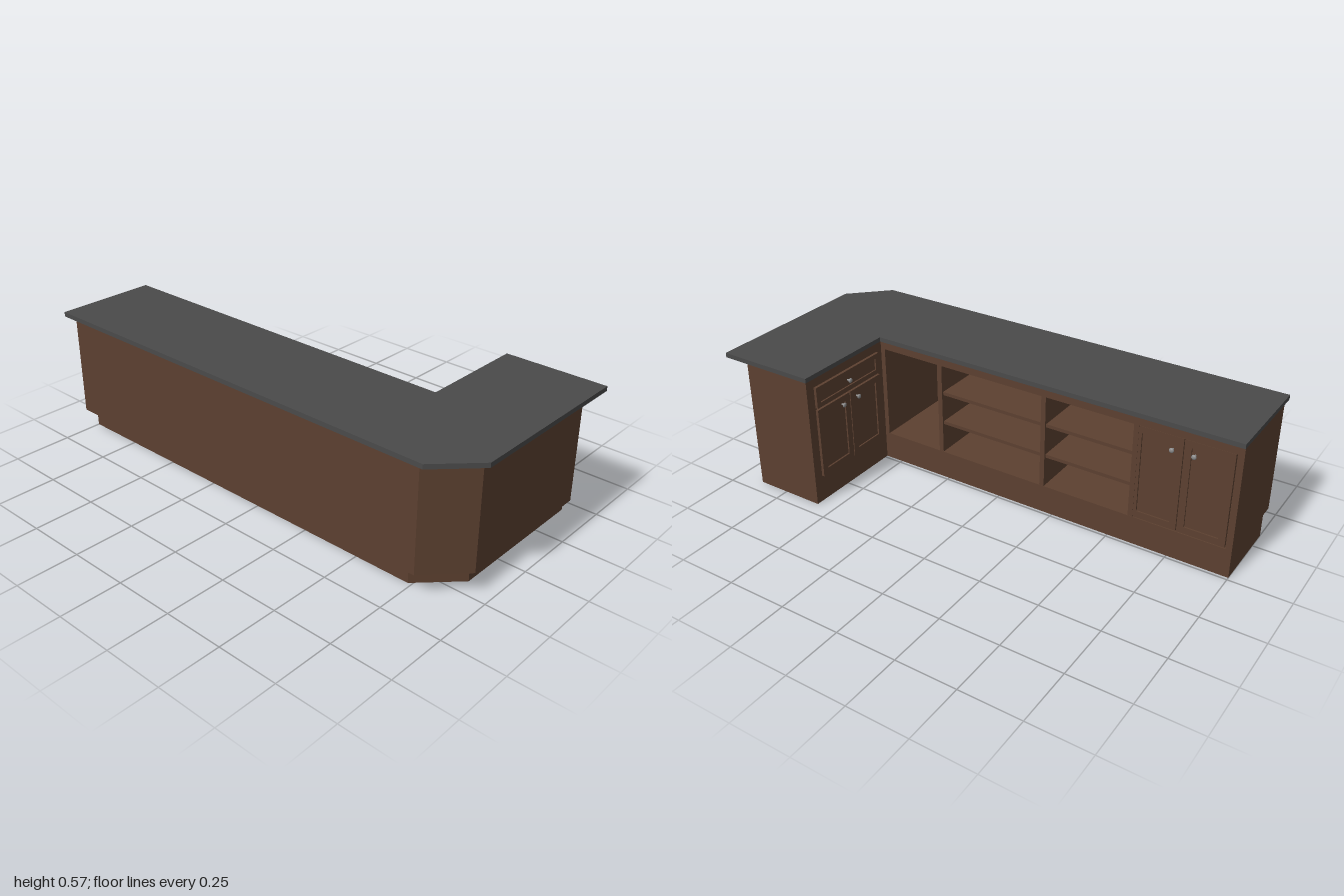
import * as THREE from 'three';

const wood = new THREE.MeshStandardMaterial({ color: 0x5c4030 });
const stone = new THREE.MeshStandardMaterial({ color: 0x4a4a4a });
const metal = new THREE.MeshStandardMaterial({ color: 0x8a8a8a });

const BACK = 0.013;   // z of the open, staff-side face
const INNER = 0.58;   // x of the short wing's staff-side face
const END = -0.44;    // z of the short wing's end

function add(parent, name, geometry, material) {
  const mesh = new THREE.Mesh(geometry, material);
  mesh.name = name;
  parent.add(mesh);
  return mesh;
}

// Floor-plan outline (x, z pairs) raised from y0 to y1
function slab(parent, name, plan, y0, y1, material) {
  const shape = new THREE.Shape(plan.map(([x, z]) => new THREE.Vector2(x, z)));
  const geo = new THREE.ExtrudeGeometry(shape, { depth: y1 - y0, bevelEnabled: false });
  geo.rotateX(Math.PI / 2);
  add(parent, name, geo, material).position.y = y1;
}

function box(parent, name, x0, x1, y0, y1, z0, z1) {
  add(parent, name, new THREE.BoxGeometry(x1 - x0, y1 - y0, z1 - z0), wood)
    .position.set((x0 + x1) / 2, (y0 + y1) / 2, (z0 + z1) / 2);
}

// Framed front with a sunken panel, facing local +z
function framedFront(name, w, h, border, knobX, knobY) {
  const group = new THREE.Group();
  group.name = name;
  const rect = (type, a, b) => new type([[-a, -b], [a, -b], [a, b], [-a, b]].map(([x, y]) => new THREE.Vector2(x, y)));
  const frame = rect(THREE.Shape, w / 2, h / 2);
  frame.holes.push(rect(THREE.Path, w / 2 - border, h / 2 - border));
  add(group, 'frame', new THREE.ExtrudeGeometry(frame, { depth: 0.012, bevelEnabled: false }), wood);
  add(group, 'panel', new THREE.BoxGeometry(w - border, h - border, 0.005), wood).position.z = 0.003;

  // Knob on a short stem
  const stem = new THREE.CylinderGeometry(0.004, 0.004, 0.014, 10).rotateX(Math.PI / 2);
  add(group, 'knobStem', stem, metal).position.set(knobX, knobY, 0.011);
  const head = add(group, 'knob', new THREE.SphereGeometry(0.01, 16, 10), metal);
  head.scale.z = 0.6;
  head.position.set(knobX, knobY, 0.02);
  return group;
}

export function createModel() {
  const model = new THREE.Group();
  model.name = 'cornerCounter';

  // Countertop
  slab(model, 'countertop', [
    [-1, 0.01], [INNER, 0.01], [INNER, END], [1, END], [1, 0.29], [0.85, 0.44], [-1, 0.44],
  ], 0.548, 0.567, stone);

  // Recessed base
  slab(model, 'base', [
    [-1, BACK], [INNER, BACK], [INNER, END], [0.885, END], [0.885, 0.18], [0.735, 0.33], [-1, 0.33],
  ], 0, 0.095, wood);

  // Body: solid bottom and top, with the cabinet space cut into the middle
  const outer = [
    [INNER, BACK], [INNER, END], [0.885, END], [0.945, -0.38],
    [0.945, 0.238], [0.8, 0.387], [-1, 0.387], [-1, BACK],
  ];
  const notch = [[-0.975, BACK], [-0.975, 0.365], [0.56, 0.365], [0.56, BACK]];
  const y0 = 0.12, y1 = 0.517;
  slab(model, 'bodyBottom', outer, 0.095, y0, wood);
  slab(model, 'bodyWalls', [...outer, ...notch], y0, y1, wood);
  slab(model, 'bodyTop', outer, y1, 0.548, wood);

  // Uprights and shelves
  const uprights = [0.285, -0.2, -0.59];
  for (const x of uprights) box(model, 'divider', x - 0.01, x + 0.01, y0, y1, BACK + 0.001, 0.365);
  for (let bay = 0; bay < 2; bay++) {
    for (const y of [0.255, 0.39]) {
      box(model, 'shelf', uprights[bay + 1] + 0.01, uprights[bay] - 0.01, y - 0.007, y + 0.007, 0.022, 0.365);
    }
  }

  // Double doors of the long run
  for (const s of [-1, 1]) {
    const door = framedFront('backDoor', 0.191, y1 - y0 - 0.004, 0.028, -s * 0.054, 0.14);
    door.rotation.y = Math.PI;
    door.position.set(-0.7775 - s * 0.097, (y0 + y1) / 2, 0.027);
    model.add(door);
  }

  // Drawer and double doors of the short wing
  const drawer = framedFront('wingDrawer', 0.38, 0.09, 0.02, 0, 0);
  drawer.rotation.y = -Math.PI / 2;
  drawer.position.set(INNER, 0.468, -0.21);
  model.add(drawer);
  for (const s of [-1, 1]) {
    const door = framedFront('wingDoor', 0.188, 0.3, 0.028, -s * 0.051, 0.113);
    door.rotation.y = -Math.PI / 2;
    door.position.set(INNER, 0.265, -0.21 + s * 0.096);
    model.add(door);
  }

  return model;
}
